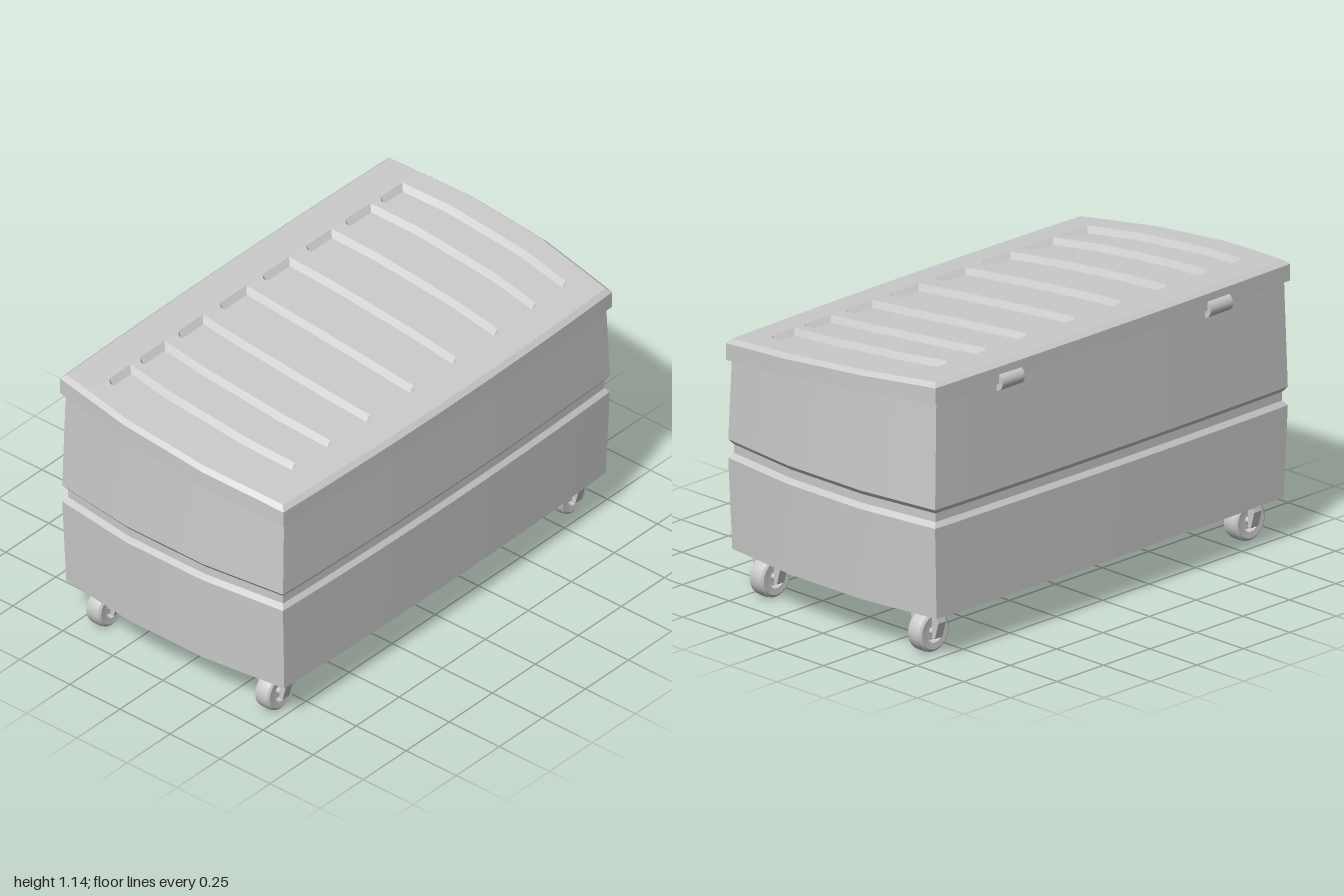
import * as THREE from 'three';
import { toCreasedNormals } from 'three/addons/utils/BufferGeometryUtils.js';

const material = new THREE.MeshStandardMaterial({ color: 0xcccccc, side: THREE.DoubleSide });

function mesh(name, geometry, parent) {
  const m = new THREE.Mesh(geometry, material);
  m.name = name;
  parent.add(m);
  return m;
}

// Plan outline with bowed sides: u runs left-right, v back-front, both -1..1
function plan(u, v, insetX = 0, insetZ = insetX) {
  const halfWidth = 1 - 0.045 * Math.max(0, (Math.abs(v) - 0.35) / 0.65);
  const halfDepth = v > 0 ? 0.583 - 0.02 * u * u : 0.566 - 0.012 * u * u;
  return [u * (halfWidth - insetX), v * (halfDepth - insetZ)];
}

// Sloping, slightly domed lid height
const lidHeight = (z) => 1.092 - 0.097 * z - 0.025 * z * z;

// Lid pockets: spans across one half, and their shared extent front to back
const SPANS = [[0.04, 0.22], [0.305, 0.475], [0.54, 0.71], [0.75, 0.9]];
const WALL = 0.02, DEPTH = 0.024, V_BACK = -0.715, V_FRONT = 0.75;

const half = SPANS.flatMap(([a, b]) => [a, a + WALL, b - WALL, b]).concat(1);
const US = [...half.map((u) => -u).reverse(), ...half];
const VS = [-1, V_BACK - 0.035, V_BACK, -0.35, 0, 0.35, V_FRONT, V_FRONT + 0.035, 1];

// Perimeter of the plan, counter-clockwise from above
const RIM = [
  ...US.map((u) => [u, 1]),
  ...VS.slice(0, -1).reverse().map((v) => [1, v]),
  ...US.slice(0, -1).reverse().map((u) => [u, -1]),
  ...VS.slice(1, -1).map((v) => [-1, v]),
];

// Surface through equal-length rows of points
function surface(rows, closed) {
  const n = rows[0].length, index = [];
  for (let r = 0; r < rows.length - 1; r++) {
    for (let i = 0; i < (closed ? n : n - 1); i++) {
      const a = r * n + i, b = r * n + ((i + 1) % n);
      index.push(a, b, b + n, a, b + n, a + n);
    }
  }
  const g = new THREE.BufferGeometry();
  g.setAttribute('position', new THREE.Float32BufferAttribute(rows.flat(2), 3));
  g.setIndex(index);
  return toCreasedNormals(g, 0.3);
}

// One ring round the plan; height may depend on z
function ring(height, insetX, insetZ) {
  return RIM.map(([u, v]) => {
    const [x, z] = plan(u, v, insetX, insetZ);
    return [x, typeof height === 'function' ? height(z) : height, z];
  });
}

function buildBody(parent) {
  mesh('body', surface([
    RIM.map(() => [0, 0.18, 0]),
    ring(0.18, 0.021, 0.014),
    ring(0.55, 0.006, 0.007),
    ring(0.57, 0.022, 0.021),
    ring(0.605, 0.022, 0.021),
    ring(0.625, 0.006, 0.007),
    ring((z) => lidHeight(z) - 0.06, 0.02, 0.014),
  ], true), parent);
}

function buildLid(parent) {
  const lid = new THREE.Group();
  lid.name = 'lid';
  parent.add(lid);

  // Skirt with turned-in lower lip and chamfered upper edge
  const bottom = (z) => lidHeight(z) - 0.084;
  mesh('lidRim', surface([
    ring(bottom, 0.04),
    ring(bottom, 0),
    ring((z) => lidHeight(z) - 0.017, 0),
    ring(lidHeight, 0.018),
  ], true), lid);

  // Top panel with eight sunken pockets
  const sunken = (u, v) => v > V_BACK - 0.001 && v < V_FRONT + 0.001 &&
    SPANS.some(([a, b]) => Math.abs(u) > a + WALL - 0.001 && Math.abs(u) < b - WALL + 0.001);
  const rows = [...VS].reverse().map((v) => US.map((u) => {
    const [x, z] = plan(u, v, 0.018);
    return [x, lidHeight(z) - (sunken(u, v) ? DEPTH : 0), z];
  }));
  mesh('lidTop', surface(rows, false), lid);

  // Hinge barrels on the back
  for (const x of [-0.56, 0.56]) {
    const barrel = new THREE.CylinderGeometry(0.037, 0.037, 0.12, 20).rotateZ(Math.PI / 2);
    mesh('hinge', barrel, lid).position.set(x, 1.058, -0.544);
  }
}

function buildCaster(parent, x, z) {
  const caster = new THREE.Group();
  caster.name = 'caster';
  caster.position.set(x, 0, z);
  parent.add(caster);

  // Wheel with recessed hub
  const side = [[0.001, 0.018], [0.036, 0.018], [0.044, 0.034], [0.07, 0.036], [0.08, 0.029]];
  const profile = [...side.map(([r, y]) => [r, -y]), [0.083, -0.015], [0.083, 0.015], ...side.reverse()]
    .map(([r, y]) => new THREE.Vector2(r, y));
  const wheel = new THREE.LatheGeometry(profile, 28).rotateX(Math.PI / 2);
  mesh('wheel', toCreasedNormals(wheel, 0.6), caster).position.y = 0.083;

  const axle = new THREE.CylinderGeometry(0.014, 0.014, 0.1, 14).rotateX(Math.PI / 2);
  mesh('axle', axle, caster).position.y = 0.083;

  // Arched fork straddling the wheel
  const arch = [[0.058, 0.185], [0.073, 0.13], [0.055, 0.063], [0.04, 0.063], [0.04, 0.145], [0.025, 0.174]];
  const outline = [...arch, ...arch.map(([a, b]) => [-a, b]).reverse()];
  const fork = new THREE.ExtrudeGeometry(
    new THREE.Shape(outline.map(([a, b]) => new THREE.Vector2(a, b))),
    { depth: 0.04, bevelEnabled: false },
  ).translate(0, 0, -0.02).rotateY(Math.PI / 2);
  mesh('fork', fork, caster);
}

export function createModel() {
  const model = new THREE.Group();
  model.name = 'wheeledBin';
  buildBody(model);
  buildLid(model);
  for (const x of [-0.85, 0.85]) {
    for (const z of [0.43, -0.413]) buildCaster(model, x, z);
  }
  return model;
}
